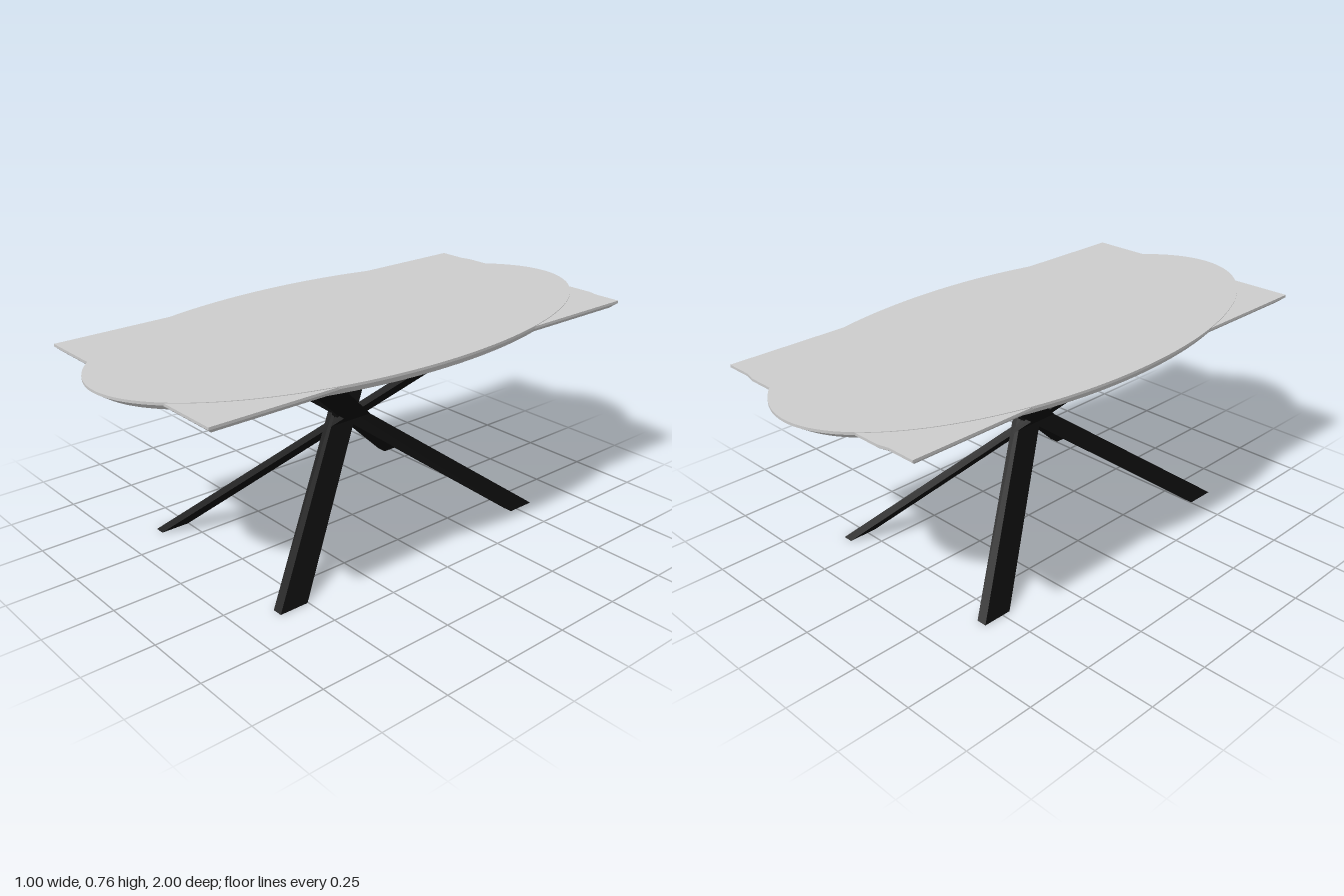
import * as THREE from 'three';
import { toCreasedNormals } from 'three/addons/utils/BufferGeometryUtils.js';

const grey = new THREE.MeshStandardMaterial({ color: 0xcccccc });
const black = new THREE.MeshStandardMaterial({ color: 0x0a0a0a });

// Flat-faced solid through rings of points, bottom to top, each counter-clockwise from above
function loft(rings) {
  const pos = [];
  const tri = (a, b, c) => pos.push(...a, ...b, ...c);
  const n = rings[0].length;
  for (let r = 0; r < rings.length - 1; r++) {
    for (let i = 0; i < n; i++) {
      const j = (i + 1) % n, lo = rings[r], hi = rings[r + 1];
      tri(lo[i], lo[j], hi[j]);
      tri(lo[i], hi[j], hi[i]);
    }
  }
  const bottom = rings[0], top = rings[rings.length - 1];
  for (let i = 1; i < n - 1; i++) {
    tri(bottom[0], bottom[i + 1], bottom[i]);
    tri(top[0], top[i], top[i + 1]);
  }
  const geo = new THREE.BufferGeometry();
  geo.setAttribute('position', new THREE.Float32BufferAttribute(pos, 3));
  geo.computeVertexNormals();
  return geo;
}

// Level rectangle used as a leg section
const section = (x, y, z, w = 0.037, d = 0.108) =>
  [[1, 1], [1, -1], [-1, -1], [-1, 1]].map(([a, b]) => [x + a * w / 2, y, z + b * d / 2]);

export function createModel() {
  const group = new THREE.Group();
  const add = (name, geo, mat) => {
    const mesh = new THREE.Mesh(geo, mat);
    mesh.name = name;
    group.add(mesh);
    return mesh;
  };

  // Oval top with an undercut rim
  const profile = [[0, 0.725], [0.965, 0.725], [1, 0.748], [1, 0.757], [0, 0.757]]
    .map(([x, y]) => new THREE.Vector2(x, y));
  const oval = new THREE.LatheGeometry(profile, 128);
  oval.scale(0.5, 1, 1);
  add('ovalTop', toCreasedNormals(oval, 0.4), grey);

  // Rectangular board whose corners show past the oval, with a shallow step at the back
  const outline = [
    [0.45, 0.895], [0.45, -0.895], [0.35, -0.895], [0.31, -0.905],
    [-0.31, -0.905], [-0.35, -0.895], [-0.45, -0.895], [-0.45, 0.895],
  ];
  const boardRing = (y, inset) => outline.map(([x, z]) =>
    [x - Math.sign(x) * inset, y, z - Math.sign(z) * inset]);
  add('rectangularTop', loft([boardRing(0.727, 0.022), boardRing(0.746, 0), boardRing(0.755, 0)]), grey);

  // Four slanted flat legs, each running from a foot through the centre to the opposite side
  const cx = -0.005, cz = 0.017;
  for (const sx of [-1, 1]) {
    for (const sz of [-1, 1]) {
      add('leg', loft([
        section(cx + sx * 0.353, 0, cz + sz * 0.54),
        section(cx - sx * 0.304, 0.73, cz - sz * 0.396),
      ]), black);
    }
  }

  // Block where the legs cross
  const hub = add('legHub', new THREE.BoxGeometry(0.032, 0.045, 0.12), black);
  hub.position.set(cx, 0.407, cz);

  return group;
}
